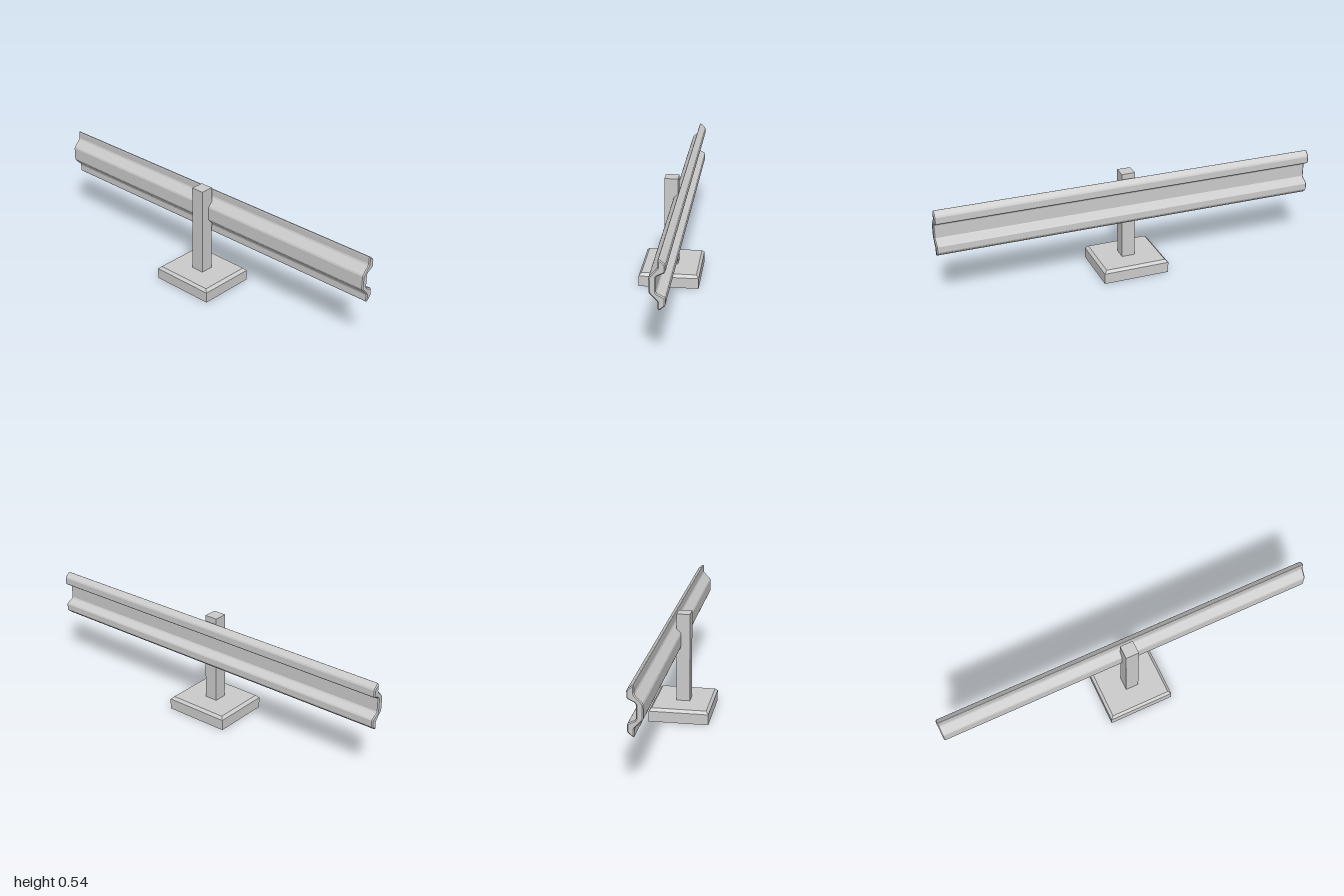
import * as THREE from 'three';

const grey = new THREE.MeshStandardMaterial({ color: 0xcccccc, flatShading: true });

function part(name, geometry) {
  const mesh = new THREE.Mesh(geometry, grey);
  mesh.name = name;
  return mesh;
}

// Cut every corner of a closed outline by a short distance
function cutCorners(points, cut) {
  const n = points.length;
  return points.flatMap((p, i) =>
    [points[(i + n - 1) % n], points[(i + 1) % n]].map((q) => {
      const d = q.clone().sub(p);
      return p.clone().addScaledVector(d, Math.min(cut / d.length(), 0.3));
    }));
}

// Corrugated rail, extruded along x with a small bevel at both ends
function railGeometry() {
  const midY = 0.3965;
  // Upper half of the section: [depth behind the origin, height above the middle]
  const half = [
    [0.041, 0.038], [0.082, 0.058], [0.082, 0.098], [0.055, 0.121],
    [0.049, 0.119], [0.049, 0.079], [0.009, 0.037],
  ];
  const lower = half.map(([d, h]) => [d, -h]).reverse();
  const outline = [...half, ...lower].map(([d, h]) => new THREE.Vector2(d, midY + h));
  const bevel = 0.005;
  const geometry = new THREE.ExtrudeGeometry(new THREE.Shape(cutCorners(outline, 0.005)), {
    depth: 2 - 2 * bevel,
    bevelThickness: bevel,
    bevelSize: bevel,
    bevelOffset: -bevel,
    bevelSegments: 1,
  });
  return geometry.translate(0, 0, bevel - 1).rotateY(Math.PI / 2);
}

// Rectangular foot with a chamfered top edge
function footGeometry() {
  const profile = [[0, 0], [1, 0], [1, 0.056], [0.915, 0.07], [0, 0.07]];
  const geometry = new THREE.LatheGeometry(
    profile.map(([r, y]) => new THREE.Vector2(r * Math.SQRT2, y)), 4);
  return geometry.rotateY(Math.PI / 4).scale(0.174, 1, 0.153);
}

export function createModel() {
  const model = new THREE.Group();
  model.name = 'guardRail';
  model.add(part('foot', footGeometry()));

  // Square post standing on the foot
  const post = part('post', new THREE.BoxGeometry(0.07, 0.476, 0.07));
  post.position.set(0, 0.298, 0.002);
  model.add(post);

  model.add(part('rail', railGeometry()));
  return model;
}
